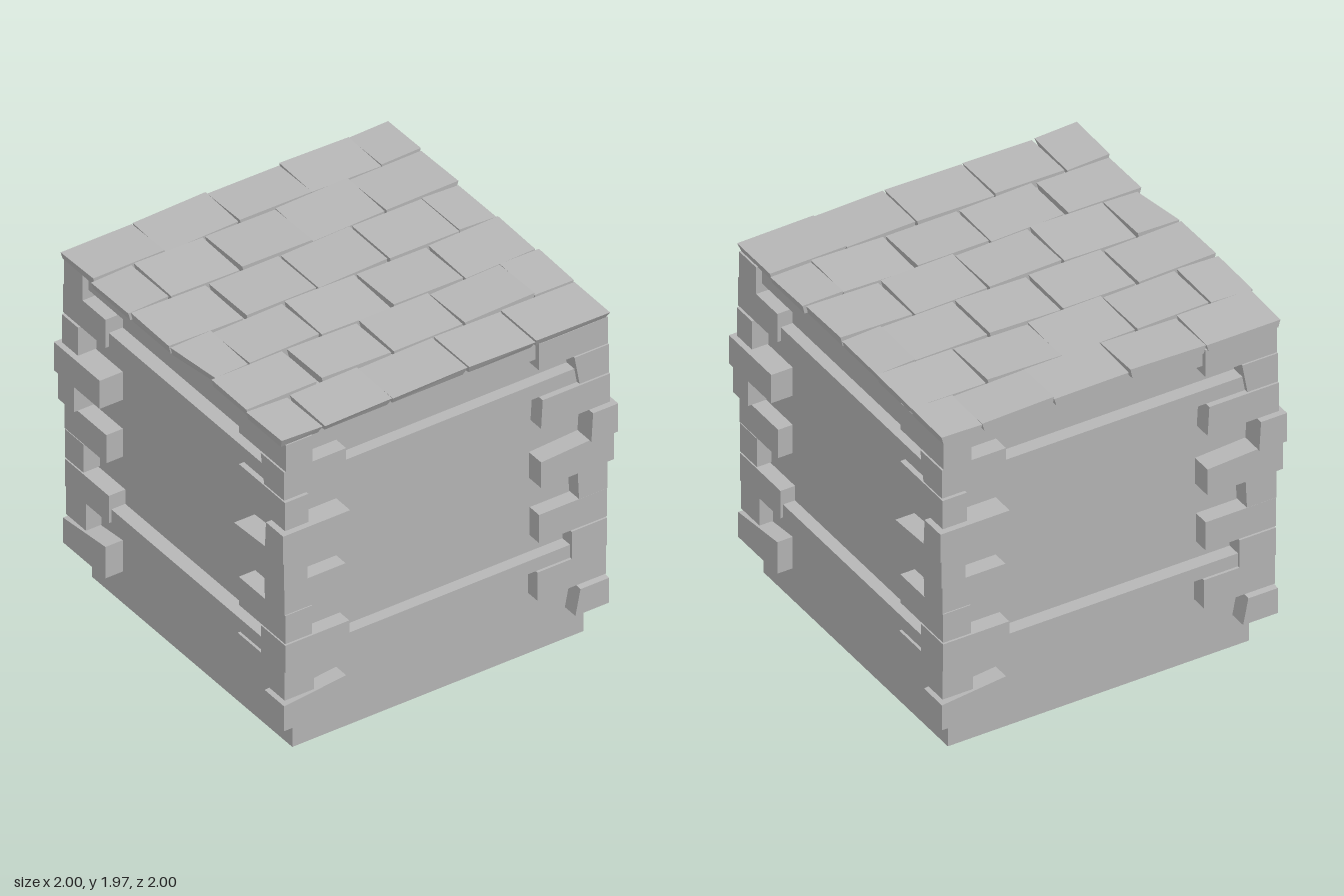
import * as THREE from 'three';

const stone = new THREE.MeshStandardMaterial({ color: 0xb6b6b6, side: THREE.DoubleSide });
stone.name = 'grey stone';
stone.flatShading = true;

// Box between two corners; warp(p, low) may move each corner
function block(name, [x0, x1], [y0, y1], [z0, z1], warp) {
  const geo = new THREE.BoxGeometry(x1 - x0, y1 - y0, z1 - z0);
  const pos = geo.attributes.position;
  const p = new THREE.Vector3();
  for (let i = 0; i < pos.count; i++) {
    p.fromBufferAttribute(pos, i);
    const low = { x: p.x < 0, y: p.y < 0, z: p.z < 0 };
    p.set(low.x ? x0 : x1, low.y ? y0 : y1, low.z ? z0 : z1);
    if (warp) warp(p, low);
    pos.setXYZ(i, p.x, p.y, p.z);
  }
  geo.computeVertexNormals();
  const mesh = new THREE.Mesh(geo, stone);
  mesh.name = name;
  return mesh;
}

// Corner stones, bottom to top: y range, x range, z range,
// shift of the inner x edge at the top, rise of the top along x and z
const CORNER = [
  [[0.19, 0.34], [0.765, 0.965], [0.6, 0.97], 0.03, 0, 0.04],
  [[0.365, 0.535], [0.545, 0.955], [0.785, 0.96], 0, 0, 0],
  [[0.535, 0.7], [0.75, 0.96], [0.578, 0.96], 0, 0, 0],
  [[0.71, 0.88], [0.555, 0.96], [0.8, 0.96], 0, 0, 0],
  [[0.885, 1.055], [0.79, 0.96], [0.6, 0.965], -0.008, 0, 0],
  [[1.06, 1.24], [0.55, 0.985], [0.845, 0.985], 0, -0.025, 0],
  [[1.23, 1.4], [0.84, 1.0], [0.6, 1.0], 0.01, 0, 0],
  [[1.405, 1.575], [0.56, 0.972], [0.83, 0.97], 0.01, 0, 0],
  [[1.585, 1.755], [0.79, 0.965], [0.6, 0.97], -0.03, 0, 0],
  [[1.755, 1.915], [0.555, 0.965], [0.8, 0.96], 0, 0, 0],
];

// Roof tiles: z range of each row and x ranges in it
const A = [[-0.98, -0.555], [-0.55, -0.115], [-0.105, 0.325], [0.325, 0.74], [0.74, 0.975]];
const B = [[-1, -0.76], [-0.745, -0.335], [-0.32, 0.1], [0.1, 0.53], [0.54, 0.97]];
const C = [[-0.995, -0.55], [-0.53, -0.115], [-0.1, 0.31], [0.325, 0.74], [0.74, 0.96]];
const D = [[-0.995, -0.755], [-0.745, -0.33], [-0.315, 0.1], [0.115, 0.53], [0.545, 0.96]];
const E = [[-0.98, -0.56], [-0.53, -0.115], [-0.1, 0.31], [0.325, 0.74], [0.74, 0.975]];
const F = [[-0.995, -0.75], [-0.735, -0.335], [-0.33, 0.115], [0.125, 0.52], [0.525, 0.965]];
const ROOF = [
  [[-0.97, -0.685], A], [[-0.675, -0.35], B], [[-0.335, -0.005], C],
  [[0.01, 0.335], D], [[0.345, 0.65], E], [[0.67, 0.98], F],
];

export function createModel() {
  const model = new THREE.Group();
  model.name = 'stoneBlockTower';

  // Hollow wall shell, open underneath (bottom face left out of the index)
  const wall = block('walls', [-0.862, 0.876], [0, 1.91], [-0.867, 0.878]);
  const index = Array.from(wall.geometry.index.array);
  index.splice(18, 6);
  wall.geometry.setIndex(index);
  wall.geometry.clearGroups();
  model.add(wall);

  // One corner and one set of ledges, repeated on the four sides
  for (let k = 0; k < 4; k++) {
    const side = new THREE.Group();
    side.name = 'side' + (k + 1);
    side.rotation.y = k * Math.PI / 2;
    CORNER.forEach(([y, x, z, shift, riseX, riseZ], i) => {
      side.add(block('cornerStone' + (i + 1), x, y, z, (p, low) => {
        if (low.y) return;
        if (low.x) { p.x += shift; p.y += riseX; }
        if (low.z) p.y += riseZ;
      }));
    });
    side.add(block('lowerLedge', [-0.85, 0.85], [0.535, 0.613], [0.8, 0.945]));
    side.add(block('upperLedge', [-0.85, 0.85], [1.582, 1.668], [0.8, 0.945]));
    side.add(block('roofBeam', [-0.85, 0.85], [1.805, 1.912], [0.8, 0.93]));
    model.add(side);
  }

  // Slightly uneven roof tiles in a running bond
  const roof = new THREE.Group();
  roof.name = 'roofTiles';
  ROOF.forEach(([z, tiles], r) => tiles.forEach((x, c) => {
    const tiltX = 0.006 * Math.sin(r * 2.3 + c * 1.7);
    const tiltZ = 0.005 * Math.cos(r * 1.1 + c * 2.9);
    roof.add(block('roofTile', x, [1.91, 1.957], z, (p, low) => {
      if (low.y) {
        // undersides taper inwards
        p.x += low.x ? 0.012 : -0.012;
        if (r === 5 && !low.z) p.z -= 0.025;
      } else {
        p.y += (low.x ? -tiltX : tiltX) + (low.z ? -tiltZ : tiltZ);
      }
      if (r === 3 && c === 0 && low.x && !low.z) p.x += 0.045;
    }));
  }));
  model.add(roof);
  return model;
}
